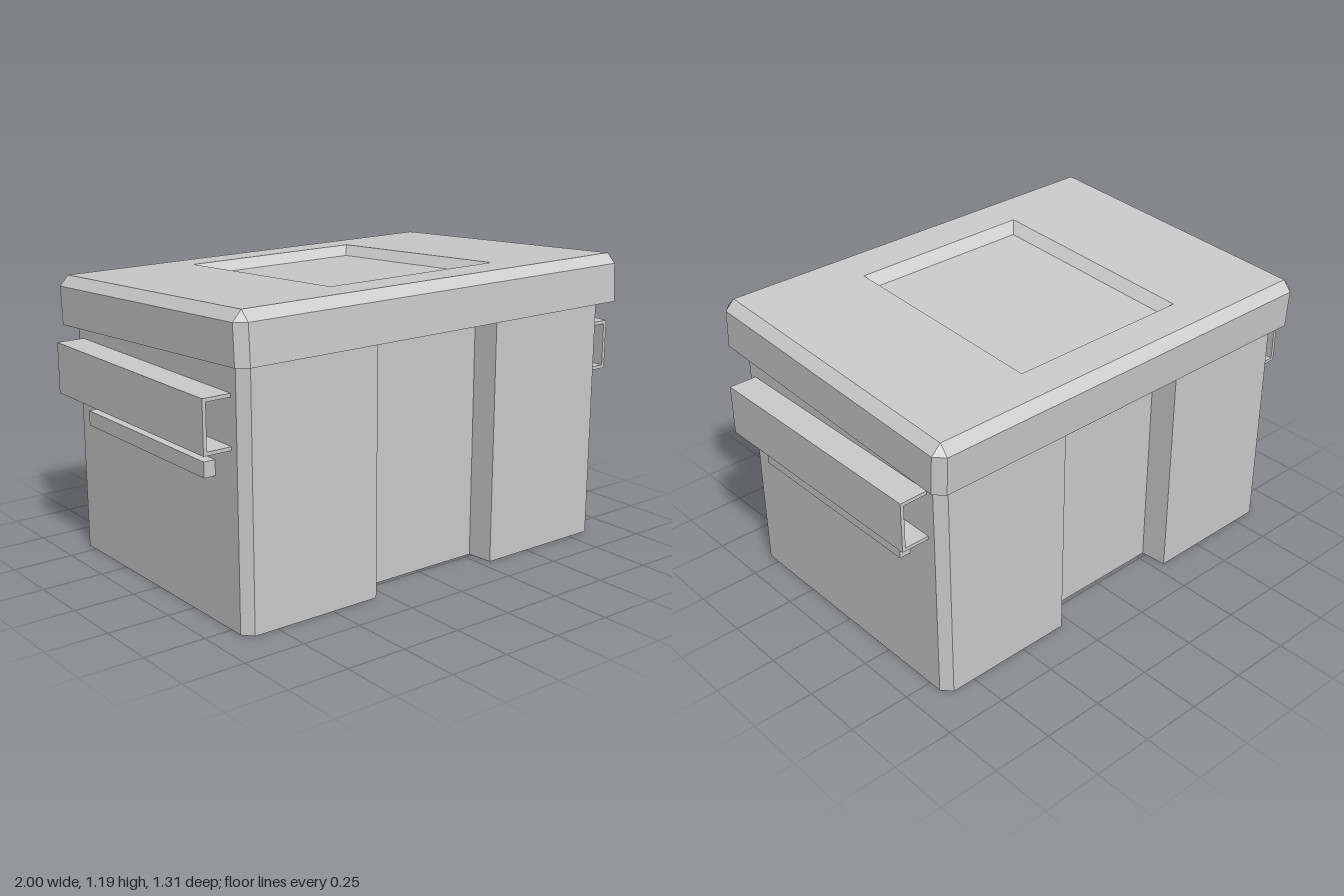
import * as THREE from 'three';

const material = new THREE.MeshStandardMaterial({ color: 0xcccccc, flatShading: true });
const SLOPE = 0.054; // the lid falls towards the back

function addMesh(parent, name, geometry) {
  const mesh = new THREE.Mesh(geometry, material);
  mesh.name = name;
  parent.add(mesh);
  return mesh;
}

// Eight-point ring, counter-clockwise from above; cut = 0 gives a plain rectangle
function ring(y, hx, hz, cut = 0, cz = 0) {
  const a = hx - cut, b = hz - cut;
  return [[hx, b], [hx, -b], [a, -hz], [-a, -hz], [-hx, -b], [-hx, b], [-a, hz], [a, hz]]
    .map(([x, z]) => new THREE.Vector3(x, y, z + cz));
}

// Joins rings in order and closes both ends
function loft(rings) {
  const points = [];
  const tri = (a, b, c) => {
    if (a.equals(b) || b.equals(c) || c.equals(a)) return;
    points.push(a, b, c);
  };
  for (let r = 0; r < rings.length - 1; r++) {
    const lo = rings[r], hi = rings[r + 1];
    for (let i = 0; i < lo.length; i++) {
      const j = (i + 1) % lo.length;
      tri(lo[i], lo[j], hi[j]);
      tri(lo[i], hi[j], hi[i]);
    }
  }
  const first = rings[0], last = rings[rings.length - 1];
  for (let i = 1; i < first.length - 1; i++) {
    tri(first[0], first[i + 1], first[i]);
    tri(last[0], last[i], last[i + 1]);
  }
  const geometry = new THREE.BufferGeometry().setFromPoints(points);
  geometry.computeVertexNormals();
  return geometry;
}

// Plan with chamfered corners and a recess in front and back, top cut to the lid's slope
function bodyGeometry() {
  const half = [
    [0.885, 0.555], [0.85, 0.595], [0.295, 0.595], [0.285, 0.485],
    [-0.285, 0.485], [-0.295, 0.595], [-0.85, 0.595], [-0.885, 0.555],
  ];
  const outline = [...half, ...half.map(([x, y]) => [-x, -y])];
  const shape = new THREE.Shape(outline.map(([x, y]) => new THREE.Vector2(x, y)));
  const geometry = new THREE.ExtrudeGeometry(shape, { depth: 1, bevelEnabled: false });
  geometry.rotateX(-Math.PI / 2);
  const p = geometry.attributes.position;
  for (let i = 0; i < p.count; i++) {
    p.setY(i, p.getY(i) > 0.5 ? 0.975 + SLOPE * p.getZ(i) : 0);
  }
  geometry.computeVertexNormals();
  return geometry;
}

// Open C-shaped channel running front to back
function channelGeometry() {
  const x0 = 0.88, x1 = 1, y0 = 0.68, y1 = 0.885, t = 0.014;
  const shape = new THREE.Shape([
    [x0, y0], [x1, y0], [x1, y1], [x0, y1],
    [x0, y1 - t], [x1 - t, y1 - t], [x1 - t, y0 + t], [x0, y0 + t],
  ].map(([x, y]) => new THREE.Vector2(x, y)));
  return new THREE.ExtrudeGeometry(shape, { depth: 1.045, bevelEnabled: false })
    .translate(0, 0, -0.5225);
}

export function createModel() {
  const model = new THREE.Group();
  model.name = 'wasteContainer';

  addMesh(model, 'body', bodyGeometry());

  // Tilted lid with bevelled edges and a sunken panel
  const lid = addMesh(model, 'lid', loft([
    ring(0, 0.93, 0.65, 0.038),
    ring(0.155, 0.93, 0.65, 0.038),
    ring(0.195, 0.892, 0.612),
    ring(0.195, 0.397, 0.459, 0, -0.008),
    ring(0.155, 0.358, 0.416, 0, -0.008),
  ]));
  lid.position.set(0, 0.965, 0.0075);
  lid.rotation.x = -SLOPE;

  // Lifting channel and rail on each side
  for (const side of ['left', 'right']) {
    const fittings = new THREE.Group();
    fittings.name = side + 'SideFittings';
    addMesh(fittings, side + 'LiftChannel', channelGeometry());
    addMesh(fittings, side + 'Rail',
      new THREE.BoxGeometry(0.05, 0.06, 0.83).translate(0.907, 0.59, 0));
    if (side === 'right') fittings.rotation.y = Math.PI;
    model.add(fittings);
  }
  return model;
}
